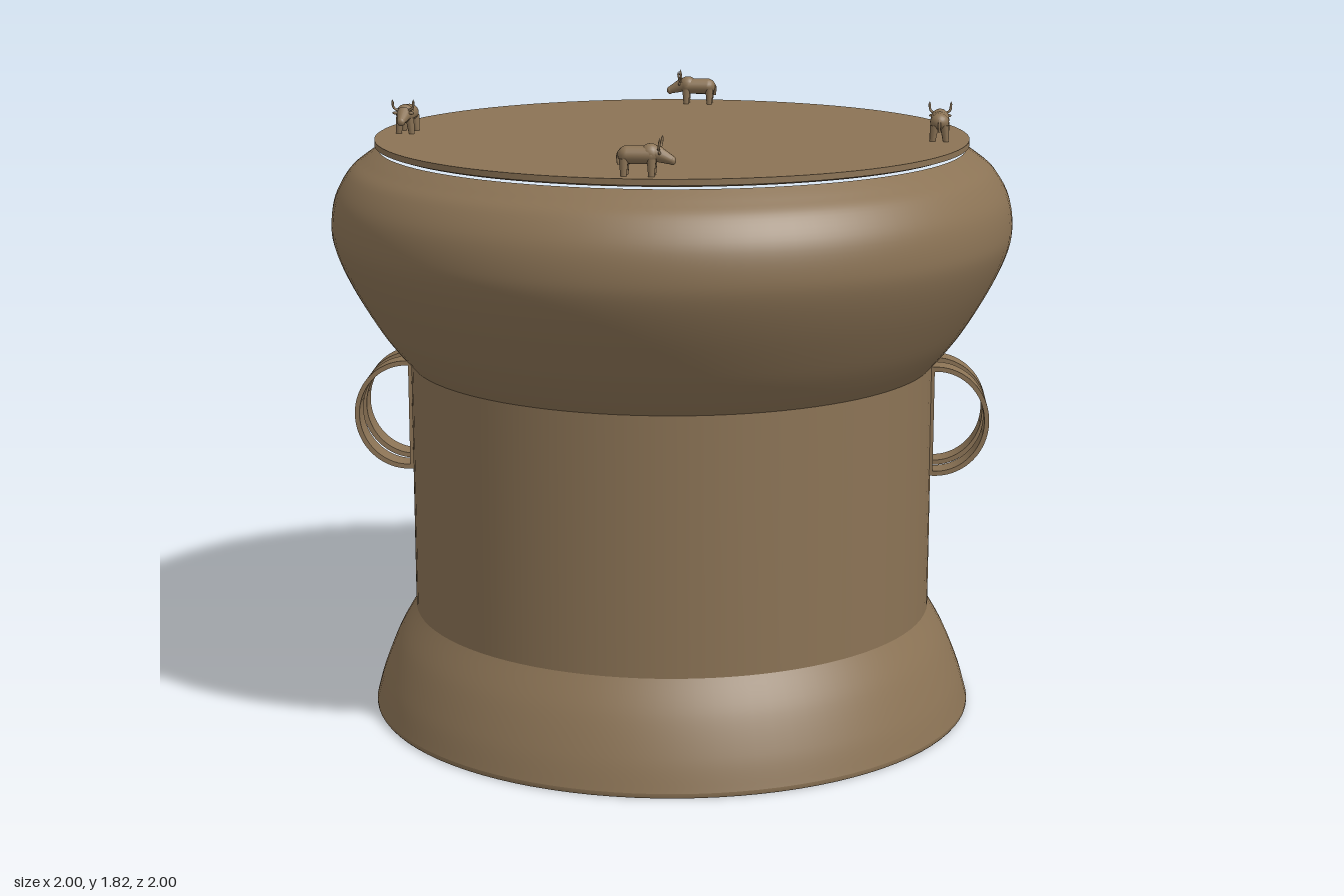
import * as THREE from 'three';
import { toCreasedNormals } from 'three/addons/utils/BufferGeometryUtils.js';

const bronze = new THREE.MeshStandardMaterial({ color: 0x8b7355 });
bronze.name = 'bronze';

function add(parent, name, geometry, x = 0, y = 0, z = 0) {
  const mesh = new THREE.Mesh(geometry, bronze);
  mesh.name = name;
  mesh.position.set(x, y, z);
  parent.add(mesh);
  return mesh;
}

const vecs = (pts) => pts.map(([x, y]) => new THREE.Vector2(x, y));

// Turned section; curved profiles are smoothed through their points
function turned(pts, smooth = 0) {
  const profile = smooth ? new THREE.SplineCurve(vecs(pts)).getPoints(smooth) : vecs(pts);
  return new THREE.LatheGeometry(profile, 96);
}

// D-shaped strap handle: half-round band with a thin strip against the wall
function strapGeometry(width) {
  const dShape = (Type, x, r) => {
    const s = new Type();
    s.moveTo(x, -r);
    s.lineTo(0.785, -r);
    s.absellipse(0.785, 0, r - 0.008, r, -Math.PI / 2, Math.PI / 2, false);
    s.lineTo(x, r);
    s.closePath();
    return s;
  };
  const shape = dShape(THREE.Shape, 0.762, 0.165);
  shape.holes.push(dShape(THREE.Path, 0.779, 0.151));
  const geo = new THREE.ExtrudeGeometry(shape, { depth: width, bevelEnabled: false, curveSegments: 32 });
  geo.translate(0, 0, -width / 2);
  return toCreasedNormals(geo, 0.6);
}

// Small standing ox, heading +x, feet at y = 0
function createOx() {
  const ox = new THREE.Group();
  ox.name = 'ox';

  const body = add(ox, 'oxBody', new THREE.CapsuleGeometry(0.026, 0.06, 6, 16).rotateZ(Math.PI / 2), -0.024, 0.057, 0);
  body.scale.set(1, 0.95, 1.05);
  const hump = add(ox, 'oxShoulder', new THREE.SphereGeometry(0.028, 16, 12), 0.008, 0.06, 0);
  hump.scale.set(1, 1, 0.95);

  // Lowered tapering head
  const head = add(ox, 'oxHead', new THREE.CylinderGeometry(0.011, 0.023, 0.05, 14), 0.045, 0.052, 0);
  head.rotation.z = -Math.PI / 2 - 0.4;
  const muzzle = add(ox, 'oxMuzzle', new THREE.SphereGeometry(0.0125, 12, 8), 0.066, 0.043, 0);
  muzzle.scale.set(0.8, 1, 1);

  for (const side of [-1, 1]) {
    // Legs
    for (const x of [-0.062, 0.012]) {
      const leg = add(ox, 'oxLeg', new THREE.CylinderGeometry(0.013, 0.008, 0.05, 10), x, 0.023, side * 0.017);
      leg.rotation.x = side * -0.1;
    }
    // Upturned horns and ears
    const horn = new THREE.CatmullRomCurve3([
      new THREE.Vector3(0.03, 0.07, side * 0.012),
      new THREE.Vector3(0.033, 0.08, side * 0.028),
      new THREE.Vector3(0.036, 0.099, side * 0.031),
    ]);
    add(ox, 'oxHorn', new THREE.TubeGeometry(horn, 8, 0.0035, 8));
    add(ox, 'oxHornTip', new THREE.ConeGeometry(0.0035, 0.008, 8), 0.036, 0.102, side * 0.031);
    const ear = add(ox, 'oxEar', new THREE.SphereGeometry(0.008, 8, 6), 0.034, 0.065, side * 0.023);
    ear.scale.set(0.5, 0.6, 1.2);
  }

  // Hanging tail
  const tail = new THREE.CatmullRomCurve3([
    new THREE.Vector3(-0.07, 0.07, 0),
    new THREE.Vector3(-0.079, 0.058, 0),
    new THREE.Vector3(-0.078, 0.03, 0),
  ]);
  add(ox, 'oxTail', new THREE.TubeGeometry(tail, 8, 0.004, 8));
  return ox;
}

export function createModel() {
  const model = new THREE.Group();
  model.name = 'bronzeDrum';

  // Drum body from base to striking face
  add(model, 'base', turned([[0, 0], [0.897, 0]]));
  add(model, 'footEdge', turned([[0.897, 0], [0.9, 0.004], [0.9, 0.014]]));
  add(model, 'foot', turned([[0.9, 0.014], [0.875, 0.1], [0.83, 0.21], [0.776, 0.305]], 20));
  add(model, 'waist', turned([[0.776, 0.305], [0.776, 1.055]]));
  add(model, 'shoulder', turned([
    [0.776, 1.055], [0.82, 1.105], [0.875, 1.18], [0.945, 1.3], [0.988, 1.4],
    [0.998, 1.47], [0.985, 1.55], [0.945, 1.62], [0.9, 1.658], [0.858, 1.687],
  ], 48));
  add(model, 'rimUnderside', turned([[0.85, 1.692], [0.868, 1.698]]));
  add(model, 'rimEdge', turned([[0.868, 1.698], [0.868, 1.715]]));
  add(model, 'drumFace', turned([[0.868, 1.715], [0, 1.715]]));

  // A pair of strap handles on each side
  const strap = strapGeometry(0.074);
  for (const turn of [0, Math.PI]) {
    const handles = new THREE.Group();
    handles.name = turn ? 'rightHandles' : 'leftHandles';
    for (const z of [-0.066, 0.066]) add(handles, 'strapHandle', strap, 0, 0.885, z);
    handles.rotation.y = turn;
    model.add(handles);
  }

  // Four oxen walking round the rim: x, z, heading
  const places = [
    [-0.021, 0.803, 0],
    [0.78, 0.036, Math.PI / 2],
    [0.018, -0.765, Math.PI],
    [-0.785, -0.003, -Math.PI / 2],
  ];
  for (const [x, z, heading] of places) {
    const ox = createOx();
    ox.position.set(x, 1.713, z);
    ox.rotation.y = heading - 0.06;
    model.add(ox);
  }
  return model;
}
